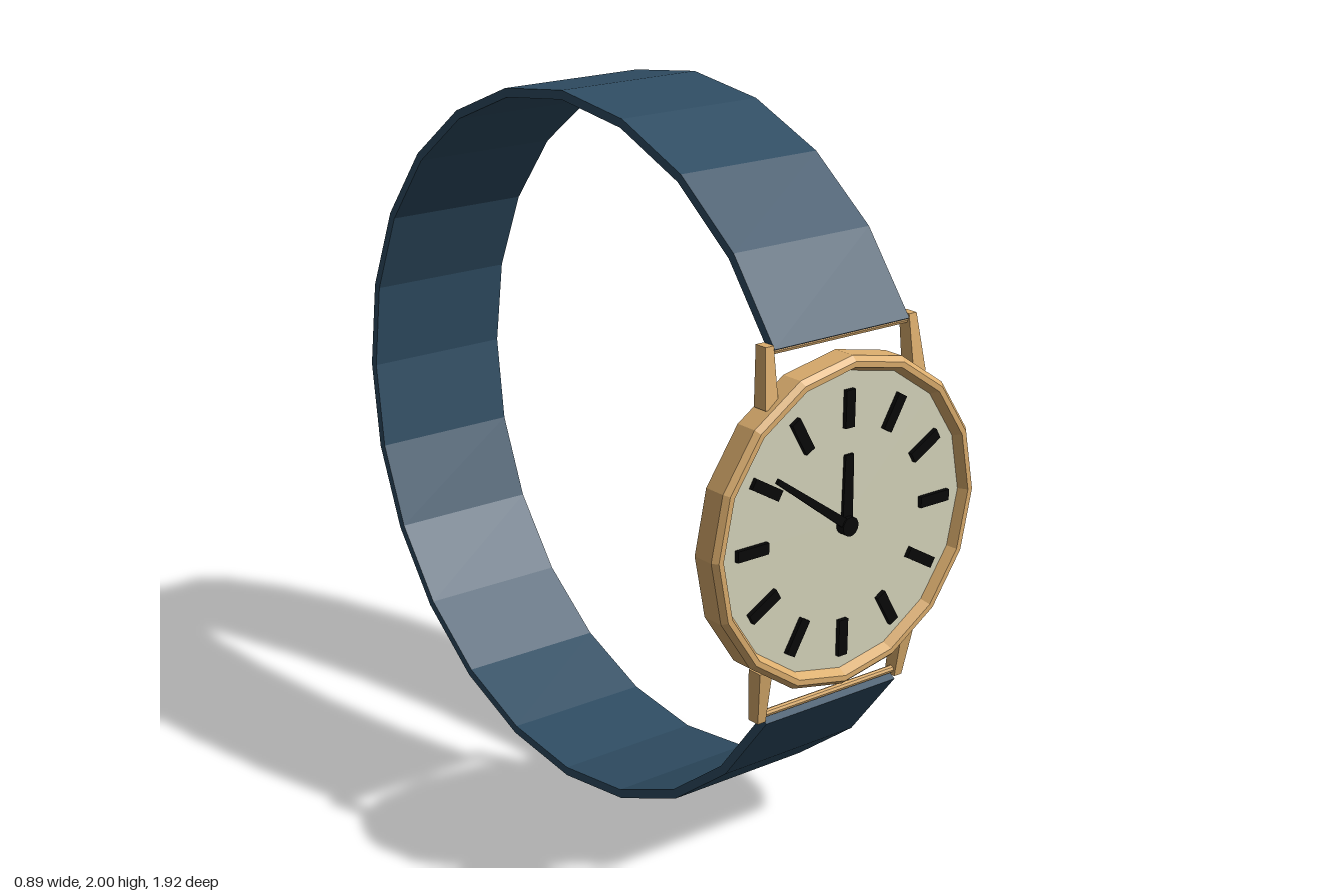
import * as THREE from 'three';

const CY = 1.008; // height of the dial centre
const mat = (color) => new THREE.MeshStandardMaterial({ color, flatShading: true });
const gold = mat(0xdcae6e), blue = mat(0x2f4d63), cream = mat(0xd6d5bc), black = mat(0x080808);

function add(parent, name, geometry, material, x = 0, y = 0, z = 0) {
  const mesh = new THREE.Mesh(geometry, material);
  mesh.name = name;
  mesh.position.set(x, y, z);
  parent.add(mesh);
  return mesh;
}

// Open faceted band: an arc of 20 straight segments with a small gap at the case
function strapGeometry() {
  const outer = [], inner = [];
  for (let i = 0; i <= 20; i++) {
    const a = THREE.MathUtils.degToRad(30 + i * 15);
    const c = Math.cos(a), s = Math.sin(a);
    outer.push(new THREE.Vector2(0.042 + c, 1 + s));
    inner.unshift(new THREE.Vector2(0.042 + 0.975 * c, 1 + 0.975 * s));
  }
  const g = new THREE.ExtrudeGeometry(new THREE.Shape([...outer, ...inner]), { depth: 0.45, bevelEnabled: false });
  g.translate(0, 0, -0.225);
  g.rotateY(-Math.PI / 2);
  return g;
}

// Lug: a box narrowed and pushed back toward its tip
function lugGeometry(side, up) {
  const g = new THREE.BoxGeometry(1, 1, 1);
  const p = g.attributes.position;
  for (let i = 0; i < p.count; i++) {
    const tip = p.getY(i) * up > 0;
    const x = side * (tip ? 0.239 : 0.248) + p.getX(i) * (tip ? 0.026 : 0.042);
    const y = CY + up * (tip ? 0.502 : 0.35);
    const z = (tip ? 0.887 : 0.908) + p.getZ(i) * (tip ? 0.037 : 0.044);
    p.setXYZ(i, x, y, z);
  }
  g.computeVertexNormals();
  return g;
}

// Hand: a slim tapered blade starting at the centre
function handGeometry(length, width, tipWidth) {
  const s = new THREE.Shape([
    new THREE.Vector2(-width / 2, 0), new THREE.Vector2(width / 2, 0),
    new THREE.Vector2(tipWidth / 2, length), new THREE.Vector2(-tipWidth / 2, length),
  ]);
  return new THREE.ExtrudeGeometry(s, { depth: 0.008, bevelEnabled: false });
}

export function createModel() {
  const watch = new THREE.Group();
  watch.name = 'wristwatch';

  add(watch, 'strap', strapGeometry(), blue);

  // Case with closed back, chamfered rim and recessed inner wall
  const profile = [[0, 0.88], [0.445, 0.88], [0.445, 0.943], [0.432, 0.957], [0.417, 0.957], [0.402, 0.93]]
    .map(([r, z]) => new THREE.Vector2(r, z));
  const caseGeo = new THREE.LatheGeometry(profile, 16);
  caseGeo.rotateX(Math.PI / 2);
  add(watch, 'case', caseGeo, gold, 0, CY, 0);

  add(watch, 'dial', new THREE.CircleGeometry(0.405, 16), cream, 0, CY, 0.932);

  // Lugs and the bars that hold the strap
  for (const up of [1, -1]) {
    for (const side of [1, -1]) add(watch, 'lug', lugGeometry(side, up), gold);
    const bar = new THREE.CylinderGeometry(0.01, 0.01, 0.47, 8);
    bar.rotateZ(Math.PI / 2);
    add(watch, 'strapBar', bar, gold, 0, CY + up * 0.485, 0.892);
  }

  // Plain hour markers around the dial
  const markers = new THREE.Group();
  markers.name = 'hourMarkers';
  watch.add(markers);
  for (let i = 0; i < 12; i++) {
    const a = (i * Math.PI) / 6;
    const m = add(markers, 'hourMarker', new THREE.BoxGeometry(0.03, 0.1, 0.012), black,
      0.31 * Math.sin(a), CY - 0.005 + 0.31 * Math.cos(a), 0.938);
    m.rotation.z = -a;
  }

  // Hands and centre hub
  add(watch, 'hourHand', handGeometry(0.19, 0.034, 0.028), black, 0, CY - 0.005, 0.938);
  const minute = add(watch, 'minuteHand', handGeometry(0.3, 0.026, 0.014), black, 0, CY - 0.005, 0.946);
  minute.rotation.z = Math.atan2(0.24, 0.172);
  const hub = new THREE.CylinderGeometry(0.026, 0.026, 0.026, 16);
  hub.rotateX(Math.PI / 2);
  add(watch, 'handHub', hub, black, 0, CY - 0.005, 0.945);

  return watch;
}
